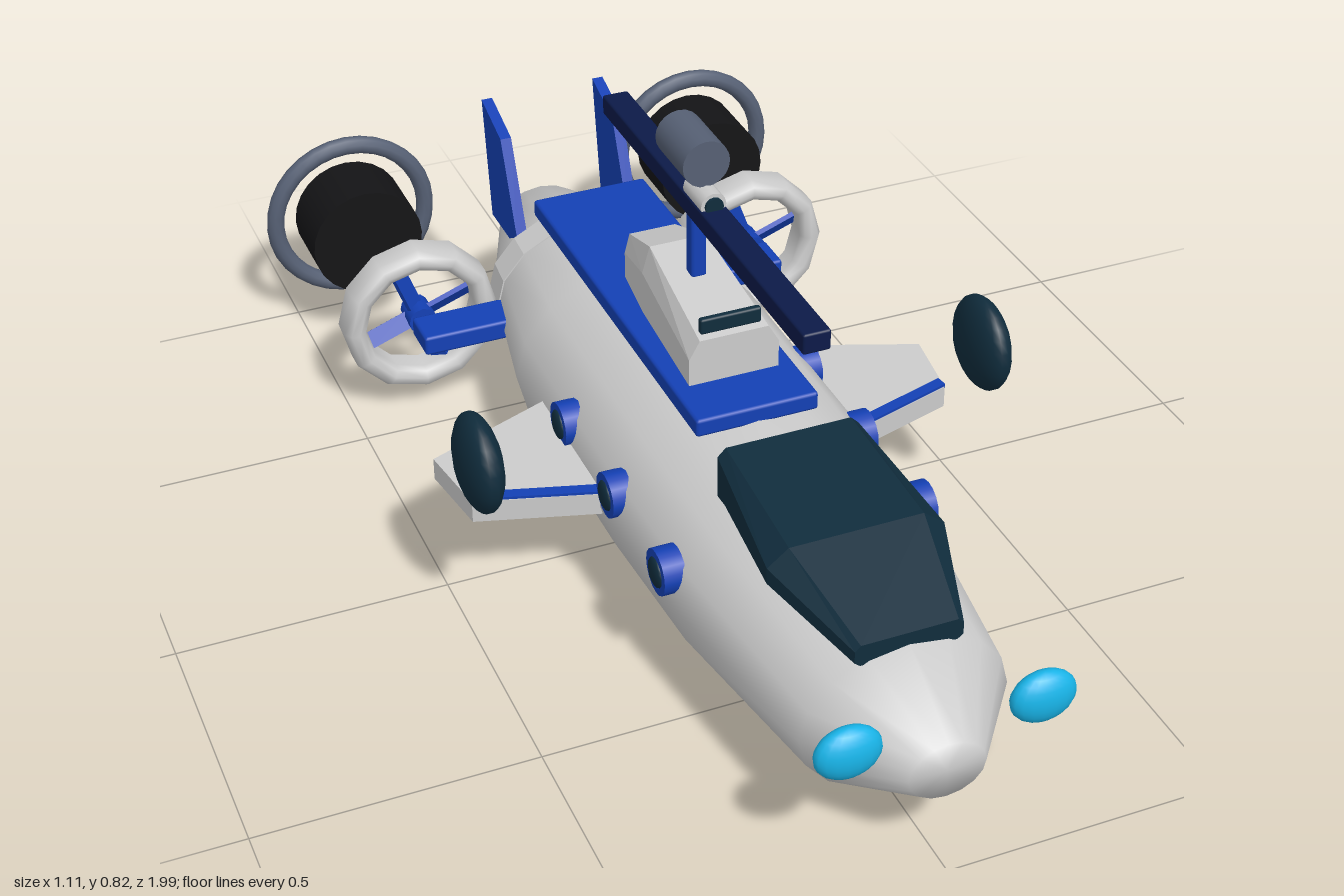
import * as THREE from 'three';
import { RoundedBoxGeometry } from 'three/addons/geometries/RoundedBoxGeometry.js';

const mat = (color, extra = {}) => new THREE.MeshStandardMaterial({ color, ...extra });
const GREY = mat(0xcccccc), GREY_FLAT = mat(0xcccccc, { flatShading: true });
const BLUE = mat(0x1440b4), NAVY = mat(0x0c1a48), CYAN = mat(0x18b4e8), BLACK = mat(0x141416);
const STEEL = mat(0x566074), GLASS = mat(0x102c3c), GLASS_FLAT = mat(0x102c3c, { flatShading: true });

export function createModel() {
  const model = new THREE.Group();

  const add = (name, geometry, material, x = 0, y = 0, z = 0, parent = model) => {
    const mesh = new THREE.Mesh(geometry, material);
    mesh.name = name;
    mesh.position.set(x, y, z);
    parent.add(mesh);
    return mesh;
  };
  const box = (w, h, d, r = 0.006) => new RoundedBoxGeometry(w, h, d, 1, r);
  const cylZ = (r, d, n = 24) => new THREE.CylinderGeometry(r, r, d, n).rotateX(Math.PI / 2);
  // Lathe turned about the z axis; points are [radius, z] with z rising
  const latheZ = (pts, n) =>
    new THREE.LatheGeometry(pts.map(p => new THREE.Vector2(...p)), n).rotateX(Math.PI / 2);
  const extrude = (pts, depth) =>
    new THREE.ExtrudeGeometry(new THREE.Shape(pts.map(p => new THREE.Vector2(...p))), { depth, bevelEnabled: false });

  // Eight-sided cross-section: half widths at bottom, side and top, and the heights of each
  const section = ({ z, bottom, side, top, y }) => {
    const right = [[bottom, y[0]], [side, y[1]], [side, y[2]], [top, y[3]]];
    const left = right.map(([px, py]) => [-px, py]).reverse();
    return [...right, ...left].map(([px, py]) => [px, py, z]);
  };
  // Skin over cross-sections running from back to front, with both ends closed
  const loft = sections => {
    const rings = sections.map(section), out = [], n = 8;
    for (let i = 0; i < rings.length - 1; i++) {
      for (let j = 0; j < n; j++) {
        const k = (j + 1) % n;
        const [a, b, c, d] = [rings[i][j], rings[i][k], rings[i + 1][k], rings[i + 1][j]];
        out.push(...a, ...b, ...c, ...a, ...c, ...d);
      }
    }
    const back = rings[0], front = rings[rings.length - 1];
    for (let j = 1; j < n - 1; j++) {
      out.push(...back[0], ...back[j + 1], ...back[j], ...front[0], ...front[j], ...front[j + 1]);
    }
    const g = new THREE.BufferGeometry();
    g.setAttribute('position', new THREE.Float32BufferAttribute(out, 3));
    g.computeVertexNormals();
    return g;
  };

  // Hull: flattened body of revolution, with a collar towards the tail
  const hull = [[0, -0.865], [0.09, -0.865], [0.185, -0.63], [0.2, -0.56], [0.25, -0.31],
    [0.25, 0.15], [0.238, 0.45], [0.185, 0.83], [0.068, 0.98], [0, 0.98]];
  add('hull', latheZ(hull, 16).scale(1, 0.78, 1), GREY, 0, 0.197, 0);
  const collar = [[0.17, -0.628], [0.196, -0.628], [0.204, -0.555], [0.17, -0.555]];
  add('tailCollar', latheZ(collar, 16).scale(1, 0.78, 1), GREY_FLAT, 0, 0.197, 0);

  // Deck, canopy and cabin
  add('deck', box(0.23, 0.035, 0.82), BLUE, 0, 0.4, -0.16);
  add('canopy', loft([
    { z: 0.375, bottom: 0.13, side: 0.13, top: 0.115, y: [0.35, 0.36, 0.43, 0.445] },
    { z: 0.64, bottom: 0.12, side: 0.158, top: 0.12, y: [0.34, 0.365, 0.395, 0.425] },
    { z: 0.835, bottom: 0.085, side: 0.095, top: 0.085, y: [0.322, 0.33, 0.352, 0.362] },
  ]), GLASS_FLAT);
  add('cabin', loft([
    { z: -0.235, bottom: 0.055, side: 0.055, top: 0.045, y: [0.4, 0.41, 0.47, 0.508] },
    { z: -0.11, bottom: 0.07, side: 0.07, top: 0.055, y: [0.4, 0.41, 0.5, 0.552] },
    { z: 0.145, bottom: 0.085, side: 0.085, top: 0.065, y: [0.4, 0.41, 0.47, 0.505] },
  ]), GREY_FLAT);
  add('cabinWindow', box(0.115, 0.03, 0.014, 0.004), GLASS, 0, 0.522, 0.125);

  // Mast with rotor bar and camera head
  add('mast', box(0.03, 0.16, 0.03), BLUE, 0, 0.61, -0.025);
  add('rotorBar', box(0.05, 0.038, 0.89, 0.004), NAVY, 0, 0.684, 0.03);
  add('cameraMount', cylZ(0.024, 0.08, 12), GREY, 0, 0.71, 0.012);
  add('cameraLens', cylZ(0.017, 0.008, 12), GLASS, 0, 0.71, 0.054);
  add('cameraDrum', cylZ(0.044, 0.125, 20), STEEL, 0, 0.775, -0.042);

  // Closed rounded section of the thruster duct
  const ductSection = [[0.112, -0.025], [0.122, -0.037], [0.146, -0.037], [0.156, -0.025],
    [0.156, 0.018], [0.146, 0.034], [0.13, 0.037], [0.117, 0.03], [0.112, 0.015], [0.112, -0.025]];

  for (const s of [1, -1]) {
    const side = new THREE.Group();
    side.name = s > 0 ? 'leftSide' : 'rightSide';
    model.add(side);

    // Wing with a coloured strip along its leading edge
    const wing = [[0.2, -0.2], [0.487, -0.085], [0.465, 0.065], [0.2, 0.145]];
    const strip = [[0.22, 0.114], [0.464, 0.04], [0.467, 0.062], [0.22, 0.138]];
    const mirrored = pts => pts.map(([x, z]) => [s * x, z]);
    add('wing', extrude(mirrored(wing), 0.043).rotateX(Math.PI / 2), GREY_FLAT, 0, 0.222, 0, side);
    add('wingStrip', extrude(mirrored(strip), 0.01).rotateX(Math.PI / 2), BLUE, 0, 0.227, 0, side);

    // Tail fin
    const fin = [[-0.64, 0.3], [-0.66, 0.27], [-0.79, 0.27], [-0.825, 0.515], [-0.715, 0.48]];
    add('tailFin', extrude(fin, 0.022).rotateY(-Math.PI / 2), BLUE, s * 0.118 + 0.011, 0, 0, side);

    // Portholes
    for (const z of [0.405, 0.17, -0.065]) {
      add('portholeRim', new THREE.CylinderGeometry(0.042, 0.042, 0.04, 16).rotateZ(Math.PI / 2), BLUE, s * 0.235, 0.248, z, side);
      add('portholeGlass', new THREE.SphereGeometry(0.028, 12, 8).scale(0.3, 1, 1), GLASS, s * 0.255, 0.248, z, side);
    }

    // Side pod and nose light
    add('sidePod', new THREE.SphereGeometry(0.09, 18, 12).scale(0.42, 1, 1), GLASS, s * 0.48, 0.378, 0.165, side);
    add('noseLight', new THREE.SphereGeometry(0.058, 18, 12).scale(1, 0.83, 0.48), CYAN, s * 0.168, 0.283, 0.967, side);

    // Ducted thruster on a pylon
    add('pylon', box(0.23, 0.04, 0.085), BLUE, s * 0.262, 0.197, -0.518, side);
    const thruster = new THREE.Group();
    thruster.name = 'thruster';
    thruster.position.set(s * 0.352, 0.198, -0.597);
    side.add(thruster);
    add('duct', latheZ(ductSection, 12), GREY, 0, 0, 0, thruster);
    add('ductGlow', new THREE.RingGeometry(0.112, 0.147, 12).rotateY(Math.PI), CYAN, 0, 0, -0.039, thruster);
    add('hub', cylZ(0.028, 0.06, 12), BLUE, 0, 0, 0, thruster);
    for (let i = 0; i < 4; i++) {
      const spoke = new THREE.Group();
      spoke.name = 'blade';
      spoke.rotation.z = THREE.MathUtils.degToRad(20 + 90 * i);
      thruster.add(spoke);
      add('bladePlate', new THREE.BoxGeometry(0.09, 0.034, 0.01), BLUE, 0.067, 0, 0, spoke).rotation.x = 0.6;
    }

    // Rear engine with a free ring around it
    const engine = new THREE.Group();
    engine.name = 'engine';
    engine.position.set(s * 0.378, 0.232, 0);
    side.add(engine);
    add('engineBody', cylZ(0.113, 0.14), BLACK, 0, 0, -0.912, engine);
    add('engineRing', new THREE.TorusGeometry(0.159, 0.018, 10, 32), STEEL, 0, 0, -0.968, engine);
    add('engineGlow', cylZ(0.064, 0.03, 20), CYAN, 0, 0, -0.984, engine);
  }
  return model;
}
